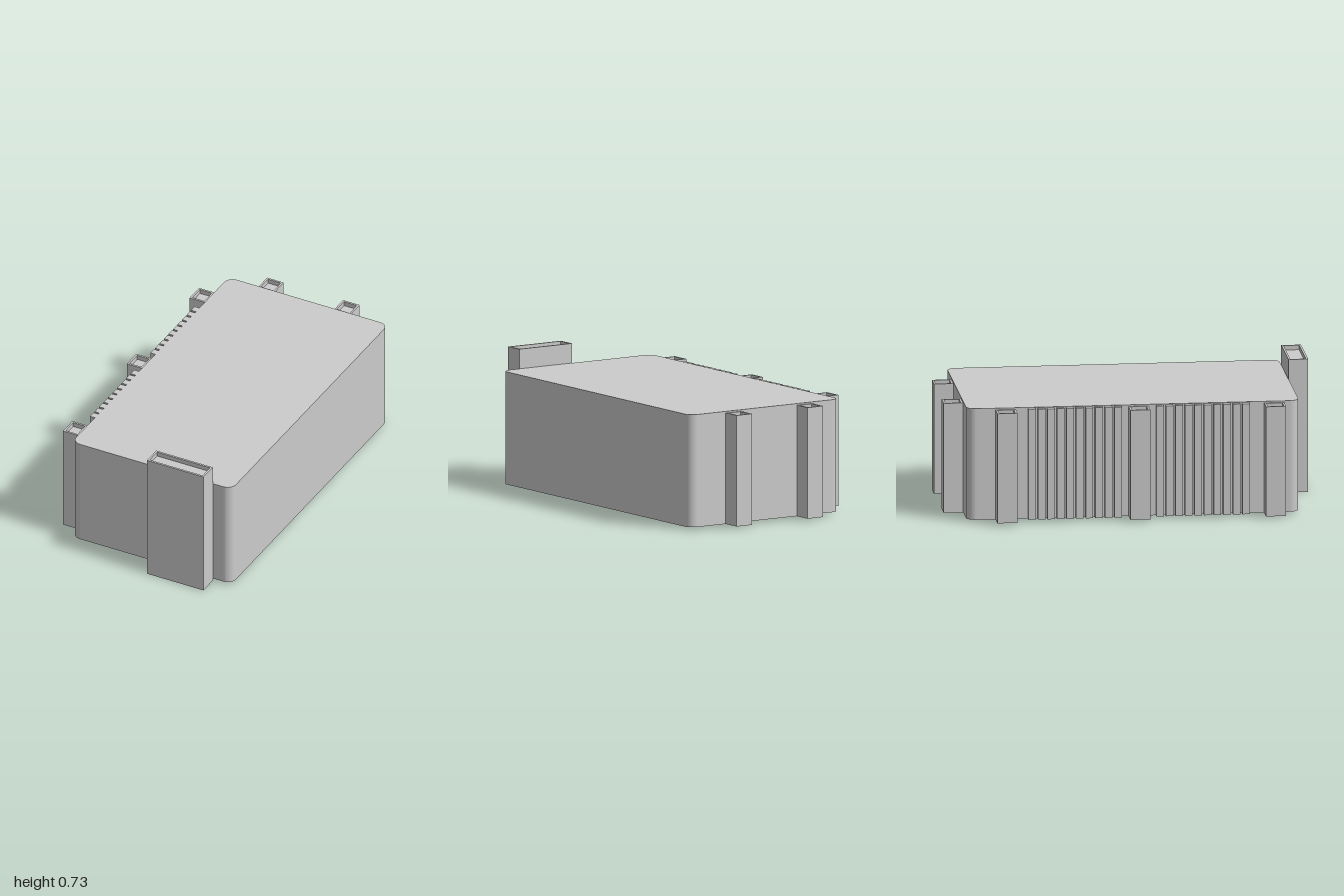
import * as THREE from 'three';

const material = new THREE.MeshStandardMaterial({ color: 0xcccccc, side: THREE.DoubleSide, flatShading: true });

function add(parent, geometry, name) {
  const mesh = new THREE.Mesh(geometry, material);
  mesh.name = name;
  parent.add(mesh);
  return mesh;
}

// Plan outline with rounded corners (r = 0 gives a plain rectangle)
function outline(x0, x1, z0, z1, r = 0) {
  const s = new THREE.Shape();
  const corners = [[x1 - r, -z0 - r, 0], [x0 + r, -z0 - r, 1], [x0 + r, -z1 + r, 2], [x1 - r, -z1 + r, 3]];
  if (r === 0) return s.setFromPoints(corners.map(([x, y]) => new THREE.Vector2(x, y)));
  for (const [x, y, q] of corners) s.absarc(x, y, r, q * Math.PI / 2, (q + 1) * Math.PI / 2, false);
  s.closePath();
  return s;
}

// Open vertical band that follows an outline
function wall(shape, y0, y1) {
  const pts = shape.getPoints(5);
  const pos = [];
  pts.forEach((a, i) => {
    const b = pts[(i + 1) % pts.length];
    if (a.distanceTo(b) < 1e-6) return;
    pos.push(a.x, y0, -a.y, b.x, y0, -b.y, b.x, y1, -b.y);
    pos.push(a.x, y0, -a.y, b.x, y1, -b.y, a.x, y1, -a.y);
  });
  const g = new THREE.BufferGeometry();
  g.setAttribute('position', new THREE.Float32BufferAttribute(pos, 3));
  g.computeVertexNormals();
  return g;
}

const slab = (shape, y) => new THREE.ShapeGeometry(shape, 5).rotateX(-Math.PI / 2).translate(0, y, 0);

// Shaft open at the bottom, with a thin parapet around a sunken top
function shaft(parent, name, x0, x1, z0, z1, y0, y1, rim = 0.011, depth = 0.025) {
  const group = new THREE.Group();
  group.name = name;
  const outer = outline(x0, x1, z0, z1);
  const inner = outline(x0 + rim, x1 - rim, z0 + rim, z1 - rim);
  const ring = outer.clone();
  ring.holes.push(inner);
  add(group, wall(outer, y0, y1), 'shaftWalls');
  add(group, wall(inner, y1 - depth, y1), 'parapetInside');
  add(group, slab(ring, y1), 'parapetRim');
  add(group, slab(inner, y1 - depth), 'shaftTop');
  parent.add(group);
}

export function createModel() {
  const model = new THREE.Group();
  model.name = 'building';
  const base = 0.014;

  // Main hall: rounded shell, open below
  const plan = outline(-0.438, 0.53, -0.895, 0.893, 0.05);
  add(model, wall(plan, base, 0.624), 'hallWalls');
  add(model, slab(plan, 0.624), 'hallRoof');

  // Tall front tower
  shaft(model, 'frontTower', 0.074, 0.416, 0.894, 1, 0, 0.73);

  // Side columns
  for (const z of [-0.688, 0.028, 0.758])
    shaft(model, 'sideColumn', -0.535, -0.441, z - 0.054, z + 0.054, base, 0.616);

  // Back columns
  for (const x of [-0.21, 0.25])
    shaft(model, 'backColumn', x - 0.05, x + 0.05, -1, -0.896, base, 0.616);

  // Two banks of upright fins between the side columns
  for (const start of [-0.548, 0.141])
    for (let i = 0; i < 10; i++) {
      const fin = add(model, new THREE.BoxGeometry(0.03, 0.606, 0.04), 'wallFin');
      fin.position.set(-0.455, base + 0.303, start + i * 0.0515);
    }

  return model;
}
